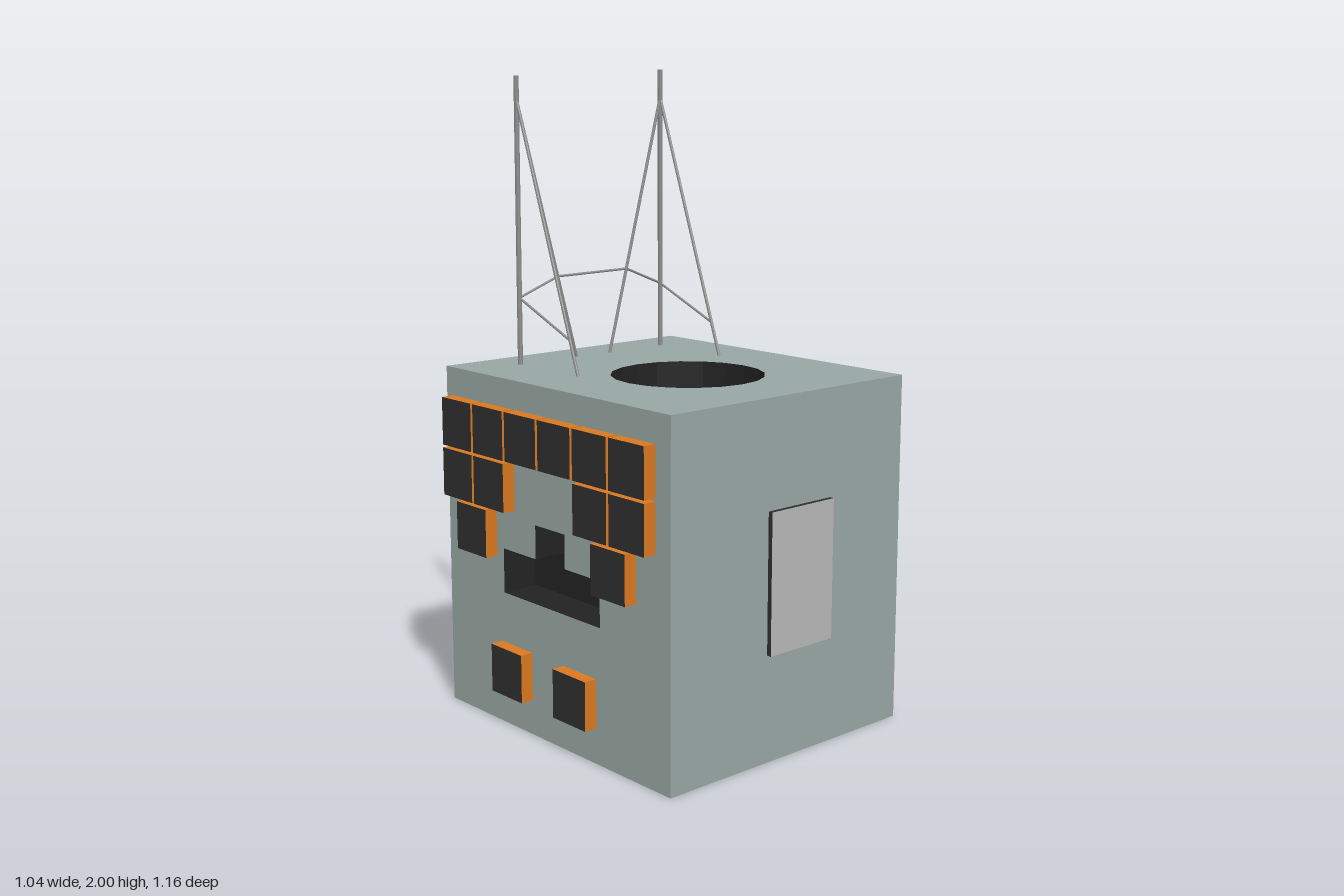
import * as THREE from 'three';

const mat = (color, side = THREE.FrontSide) =>
  new THREE.MeshStandardMaterial({ color, side, flatShading: true });

// Hull limits
const X0 = -0.48, X1 = 0.46, Y0 = 0, Y1 = 1.09, Z0 = -0.485, Z1 = 0.565;

export function createModel() {
  const model = new THREE.Group();
  const hull = mat(0x97a6a3), dark = mat(0x2e2e2e), orange = mat(0xd9771f);
  const plate = mat(0xb8b6b6), metal = mat(0x8c8c8c);
  const inside = mat(0x222222, THREE.DoubleSide);

  const add = (parent, name, geometry, material) => {
    const mesh = new THREE.Mesh(geometry, material);
    mesh.name = name;
    parent.add(mesh);
    return mesh;
  };

  // Recess behind a hull face: side walls along the outline, and a floor
  const pocket = (parent, name, outline, depth) => {
    const pos = [];
    outline.forEach((a, i) => {
      const b = outline[(i + 1) % outline.length];
      pos.push(a.x, a.y, 0, a.x, a.y, -depth, b.x, b.y, -depth);
      pos.push(a.x, a.y, 0, b.x, b.y, -depth, b.x, b.y, 0);
    });
    const walls = new THREE.BufferGeometry();
    walls.setAttribute('position', new THREE.Float32BufferAttribute(pos, 3));
    walls.computeVertexNormals();
    add(parent, name + 'Walls', walls, inside);
    add(parent, name + 'Floor', new THREE.ShapeGeometry(new THREE.Shape(outline)), inside)
      .position.z = -depth;
  };

  // One hull face in its own frame, outward is local +z
  const face = (name, x0, x1, y0, y1, offset, rx, ry, outline, depth) => {
    const group = new THREE.Group();
    group.name = name;
    const shape = new THREE.Shape([[x0, y0], [x1, y0], [x1, y1], [x0, y1]]
      .map(p => new THREE.Vector2(...p)));
    if (outline) {
      shape.holes.push(new THREE.Path(outline));
      pocket(group, name + 'Recess', outline, depth);
    }
    add(group, name + 'Skin', new THREE.ShapeGeometry(shape), hull);
    group.rotation.set(rx, ry, 0);
    group.position.set(0, 0, offset).applyEuler(group.rotation);
    model.add(group);
    return group;
  };

  // Box standing on a face, with its own material on the outer side
  const block = (parent, name, x0, x1, y0, y1, h, sides, front) => {
    const mesh = add(parent, name, new THREE.BoxGeometry(x1 - x0, y1 - y0, h),
      [sides, sides, sides, sides, front, sides]);
    mesh.position.set((x0 + x1) / 2, (y0 + y1) / 2, h / 2);
  };

  // T-shaped side opening; s maps z to the face's local x
  const tee = s => [[0.26, 0.42], [-0.2, 0.42], [-0.2, 0.56], [-0.04, 0.56],
    [-0.04, 0.665], [0.1, 0.665], [0.1, 0.56], [0.26, 0.56]]
    .map(([z, y]) => new THREE.Vector2(s * z, y));
  const round = Array.from({ length: 20 }, (_, i) => {
    const a = i / 20 * Math.PI * 2;
    return new THREE.Vector2(-0.017 + 0.236 * Math.cos(a), -0.125 + 0.236 * Math.sin(a));
  });

  // Hull
  const H = Math.PI / 2;
  const front = face('front', X0, X1, Y0, Y1, Z1, 0, 0);
  const back = face('back', -X1, -X0, Y0, Y1, -Z0, 0, Math.PI);
  const left = face('leftSide', -Z1, -Z0, Y0, Y1, X1, 0, H, tee(-1), 0.12);
  const right = face('rightSide', Z0, Z1, Y0, Y1, -X0, 0, -H, tee(1), 0.12);
  face('top', X0, X1, -Z1, -Z0, Y1, -H, 0, round, 0.16);
  face('bottom', X0, X1, Z0, Z1, -Y0, H, 0);

  // Front plate and back connector box
  block(front, 'frontPlate', -0.105, 0.15, 0.33, 0.76, 0.015, dark, plate);
  block(back, 'backBox', -0.105, 0.105, 0.045, 0.15, 0.065, dark, plate);

  // Twin sensor tubes on the back
  for (const x of [-0.07, 0.072]) {
    const tube = add(back, 'sensorTube', new THREE.CylinderGeometry(0.026, 0.026, 0.098, 16), dark);
    tube.rotation.x = H;
    tube.position.set(x, 0.925, 0.049);
  }

  // Tiles on the left side
  for (let i = 0; i < 4; i++) {
    const x = -0.39 + i * 0.215;
    block(left, 'lowerTile', x, x + 0.105, 0.045, 0.195, 0.018, orange, dark);
  }
  block(left, 'middleTile', -0.26, -0.155, 0.59, 0.735, 0.018, orange, dark);
  block(left, 'largeTile', 0.168, 0.362, 0.61, 0.757, 0.06, orange, dark);

  // Tiles on the right side, [z start, y start]
  const tiles = [[-0.385, 0.53], [0.27, 0.53], [-0.215, 0.11], [0.09, 0.11]];
  for (let i = 0; i < 6; i++) {
    const z = -0.453 + i * 0.161;
    tiles.push([z, 0.85]);
    if (i < 2 || i > 3) tiles.push([z, 0.69]);
  }
  for (const [z, y] of tiles) {
    block(right, 'squareTile', z, z + 0.151, y, y + 0.151, 0.042, orange, dark);
  }

  // Masts with their stays and braces
  const rod = (name, a, b, r) => {
    const p = new THREE.Vector3(...a), q = new THREE.Vector3(...b);
    const mesh = add(model, name, new THREE.CylinderGeometry(r, r, p.distanceTo(q), 8), metal);
    mesh.position.copy(p).lerp(q, 0.5);
    mesh.quaternion.setFromUnitVectors(new THREE.Vector3(0, 1, 0), q.sub(p).normalize());
  };
  const zm = -0.355;
  const masts = [
    { x: -0.29, top: 1.98, foot: [-0.06, Y1, -0.362], knee: [-0.133, 1.355, -0.36] },
    { x: 0.295, top: 2.0, foot: [0.065, Y1, -0.344], knee: [0.142, 1.36, -0.348] },
  ];
  for (const { x, top, foot, knee } of masts) {
    rod('mast', [x, Y1, zm], [x, top, zm], 0.008);
    rod('innerStay', [x, 1.91, zm], foot, 0.005);
    rod('frontStay', [x, 1.91, zm], [x, Y1, -0.067], 0.005);
    rod('innerBrace', [x, 1.3, zm], knee, 0.004);
    rod('frontBrace', [x, 1.3, zm], [x, 1.195, -0.104], 0.004);
  }
  rod('crossBrace', masts[0].knee, masts[1].knee, 0.004);

  return model;
}
